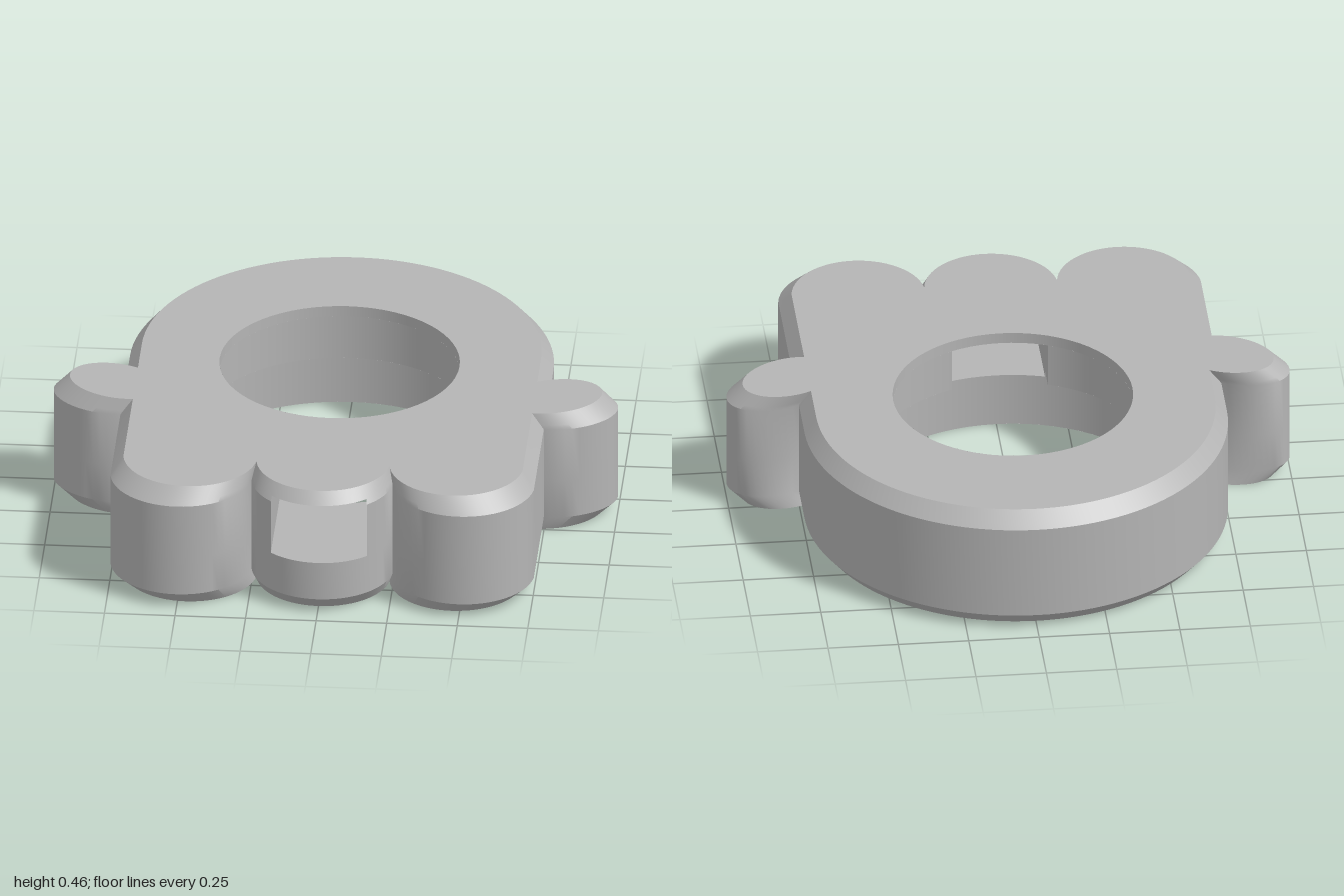
import * as THREE from 'three';
import { toCreasedNormals } from 'three/addons/utils/BufferGeometryUtils.js';

const INSET = 0.943;                 // bevelled faces shrink toward the centre
const H = 0.46, BEVEL = 0.055;
const HOLE_Z = -0.09, LIP_R = 0.425, UPPER_R = 0.48, LOWER_R = 0.573;
const STEP_Y = 0.225;                // ledge between the two bores
const SLOT_X = 0.17, SLOT_Y0 = 0.2, SLOT_Y1 = 0.42;
const LOBE_R = 0.252, LOBE_Z = 0.69;

// points on an ellipse-like curve, as (x, z)
function sweep(n, a0, a1, fn) {
  return Array.from({ length: n + 1 }, (_, i) => {
    const p = fn(a0 + (a1 - a0) * i / n);
    return new THREE.Vector2(p[0], p[1]);
  });
}

const lobe = (cx, n, a0, a1) => sweep(n, a0, a1, a => [cx + LOBE_R * Math.cos(a), LOBE_Z + LOBE_R * Math.sin(a)]);
const slotA = Math.acos(SLOT_X / LOBE_R);

// closed outline: three front lobes, side ear, rounded back, side ear
function makeOutline() {
  const a = Math.acos(0.25 / LOBE_R), e = Math.acos(-0.07 / 0.18);
  const ear = (s, t0, t1) => sweep(28, t0, t1, t =>
    [s * (0.82 + 0.18 * Math.cos(t)), 0.1175 - 0.039 * Math.cos(t) + 0.137 * Math.sin(t)]);
  const all = [
    ...lobe(0.5, 28, a, Math.PI - a),
    ...lobe(0, 8, a, slotA), ...lobe(0, 14, slotA, Math.PI - slotA), ...lobe(0, 8, Math.PI - slotA, Math.PI - a),
    ...lobe(-0.5, 28, a, Math.PI - a),
    ...ear(-1, e, -e),
    ...sweep(56, Math.PI, 2 * Math.PI, t => [0.75 * Math.cos(t), -0.19 + 0.75 * Math.sin(t)]),
    ...ear(1, -e, e),
  ];
  return all.filter((p, i) => p.distanceTo(all[(i + 1) % all.length]) > 1e-5);
}

// arc around the bore, angle measured from the front
const boreArc = (r, a0, a1, n = 64) => sweep(n, a0, a1, t => [r * Math.sin(t), HOLE_Z + r * Math.cos(t)]);

// horizontal face at height y, facing up or down
function flat(points, y, up, hole) {
  const s = up ? -1 : 1;
  const conv = list => list.map(p => new THREE.Vector2(p.x, s * p.y));
  const shape = new THREE.Shape(conv(points));
  if (hole) shape.holes.push(new THREE.Path(conv(hole)));
  return new THREE.ShapeGeometry(shape).rotateX(s * Math.PI / 2).translate(0, y, 0);
}

// outer wall with bevels, left open where the slot exits
function outerWall(outline) {
  const levels = [[0, INSET], [BEVEL, 1], [SLOT_Y0, 1], [H - BEVEL, 1],
    [SLOT_Y1, 1 - (1 - INSET) * (SLOT_Y1 - H + BEVEL) / BEVEL], [H, INSET]];
  const pos = [];
  const inSlot = p => p.y > 0.8 && Math.abs(p.x) < SLOT_X + 1e-4;
  for (let k = 0; k < levels.length - 1; k++) {
    const [y0, s0] = levels[k], [y1, s1] = levels[k + 1];
    outline.forEach((p, i) => {
      const q = outline[(i + 1) % outline.length];
      if ((k === 2 || k === 3) && inSlot(p) && inSlot(q)) return;
      const a = [p.x * s0, y0, p.y * s0], b = [q.x * s0, y0, q.y * s0];
      const c = [p.x * s1, y1, p.y * s1], d = [q.x * s1, y1, q.y * s1];
      pos.push(...a, ...c, ...d, ...a, ...d, ...b);
    });
  }
  const g = new THREE.BufferGeometry();
  g.setAttribute('position', new THREE.Float32BufferAttribute(pos, 3));
  return toCreasedNormals(g, 0.5);
}

export function createModel() {
  const group = new THREE.Group();
  const grey = new THREE.MeshStandardMaterial({ color: 0xb4b4b4, side: THREE.DoubleSide });
  grey.name = 'grey';
  const add = (name, geo) => {
    const m = new THREE.Mesh(geo, grey);
    m.name = name;
    group.add(m);
  };
  const TAU = 2 * Math.PI;
  const outline = makeOutline();
  const inset = outline.map(p => p.clone().multiplyScalar(INSET));
  const slotAngle = r => Math.asin(SLOT_X / r);

  // body shell
  add('outerWall', outerWall(outline));
  add('topFace', flat(inset, H, true, boreArc(LIP_R, 0, TAU).slice(1)));
  add('bottomFace', flat(inset, 0, false, boreArc(LOWER_R, 0, TAU).slice(1)));

  // stepped bore, open toward the slot where needed
  const bore = (name, r, y0, y1, gap) => add(name,
    new THREE.CylinderGeometry(r, r, y1 - y0, 72, 1, true, gap, TAU - 2 * gap).translate(0, (y0 + y1) / 2, HOLE_Z));
  bore('lipWall', LIP_R, SLOT_Y1, H, 0);
  bore('upperBore', UPPER_R, STEP_Y, SLOT_Y1, slotAngle(UPPER_R));
  bore('lowerBoreTop', LOWER_R, SLOT_Y0, STEP_Y, slotAngle(LOWER_R));
  bore('lowerBore', LOWER_R, 0, SLOT_Y0, 0);
  add('lipUnderside', flat(boreArc(UPPER_R, 0, TAU).slice(1), SLOT_Y1, false, boreArc(LIP_R, 0, TAU).slice(1)));
  const gu = slotAngle(UPPER_R), gl = slotAngle(LOWER_R);
  add('boreLedge', flat([...boreArc(LOWER_R, gl, TAU - gl), ...boreArc(UPPER_R, TAU - gu, gu)], STEP_Y, false));

  // slot from the middle front lobe into the bore
  const front = lobe(0, 14, slotA, Math.PI - slotA);
  const ceilingScale = 1 - (1 - INSET) * (SLOT_Y1 - H + BEVEL) / BEVEL;
  add('slotFloor', flat([...front, ...boreArc(LOWER_R, -gl, gl, 12)], SLOT_Y0, true));
  add('slotCeiling', flat([...front.map(p => p.clone().multiplyScalar(ceilingScale)),
    ...boreArc(UPPER_R, -gu, gu, 12)], SLOT_Y1, false));
  const zFront = front[0].y;
  const zUpper = HOLE_Z + UPPER_R * Math.cos(gu), zLower = HOLE_Z + LOWER_R * Math.cos(gl);
  const side = new THREE.Shape([
    [zFront, SLOT_Y0], [zFront, H - BEVEL], [zFront * ceilingScale, SLOT_Y1],
    [zUpper, SLOT_Y1], [zUpper, STEP_Y], [zLower, STEP_Y], [zLower, SLOT_Y0],
  ].map(([z, y]) => new THREE.Vector2(-z, y)));
  for (const s of [-1, 1]) {
    add(s > 0 ? 'slotSideLeft' : 'slotSideRight',
      new THREE.ShapeGeometry(side).rotateY(Math.PI / 2).translate(s * SLOT_X, 0, 0));
  }
  return group;
}
